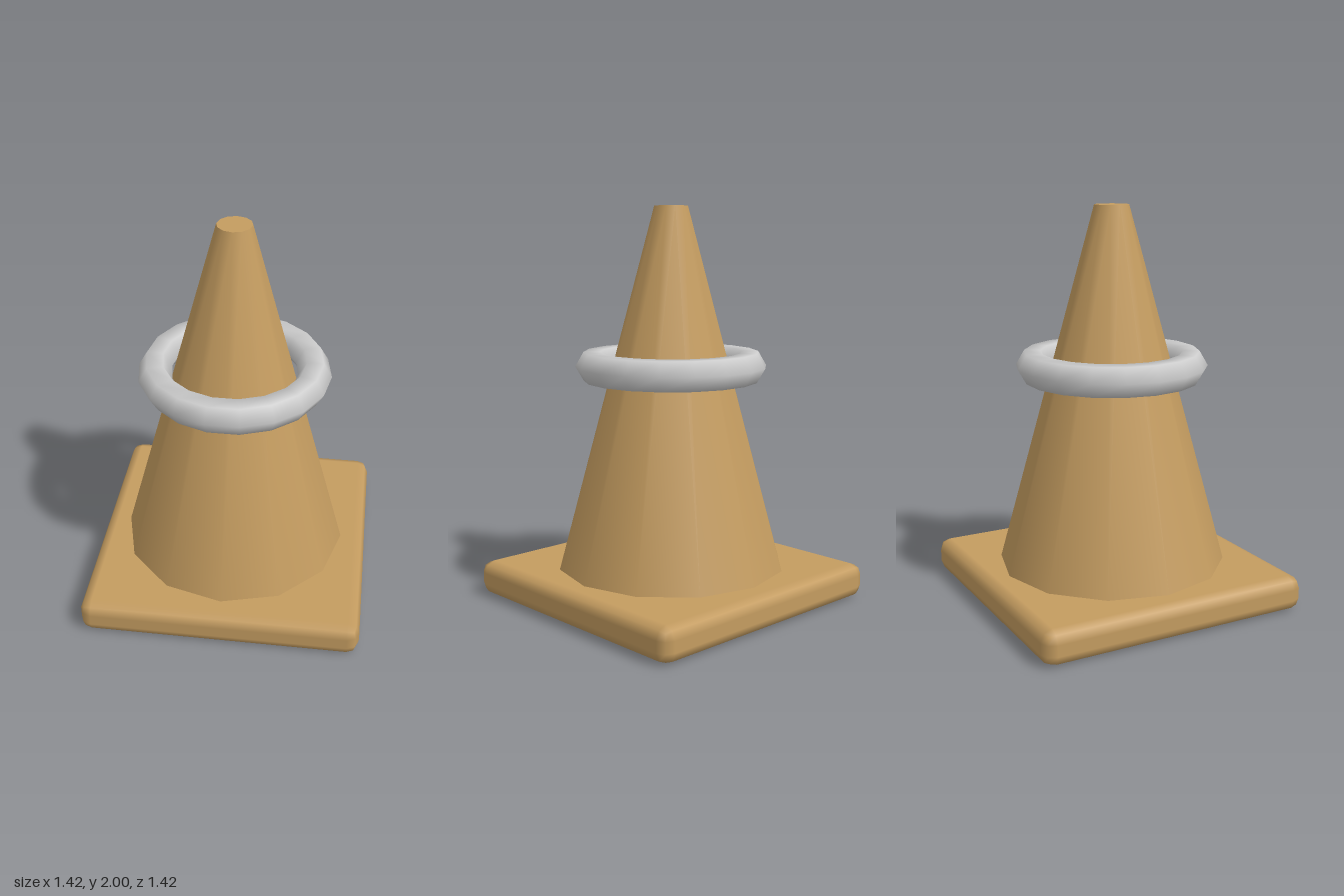
import * as THREE from 'three';
import { RoundedBoxGeometry } from 'three/addons/geometries/RoundedBoxGeometry.js';

export function createModel() {
  const group = new THREE.Group();
  const tan = new THREE.MeshStandardMaterial({ color: 0xc49c60 });
  const grey = new THREE.MeshStandardMaterial({ color: 0xcccccc });

  const add = (name, geometry, material, y) => {
    const mesh = new THREE.Mesh(geometry, material);
    mesh.name = name;
    mesh.position.y = y;
    group.add(mesh);
    return mesh;
  };

  // Square foot plate with bevelled edges
  const baseHeight = 0.176;
  add('base', new RoundedBoxGeometry(1.424, baseHeight, 1.424, 1, 0.06), tan, baseHeight / 2);

  // Twelve-sided tapered body with a flat tip
  const coneHeight = 2 - baseHeight;
  add('cone', new THREE.CylinderGeometry(0.086, 0.582, coneHeight, 12), tan, baseHeight + coneHeight / 2);

  // Loose ring around the upper body
  const ring = new THREE.TorusGeometry(0.4, 0.084, 6, 18).rotateX(-Math.PI / 2);
  add('ring', ring, grey, 1.203);

  return group;
}
